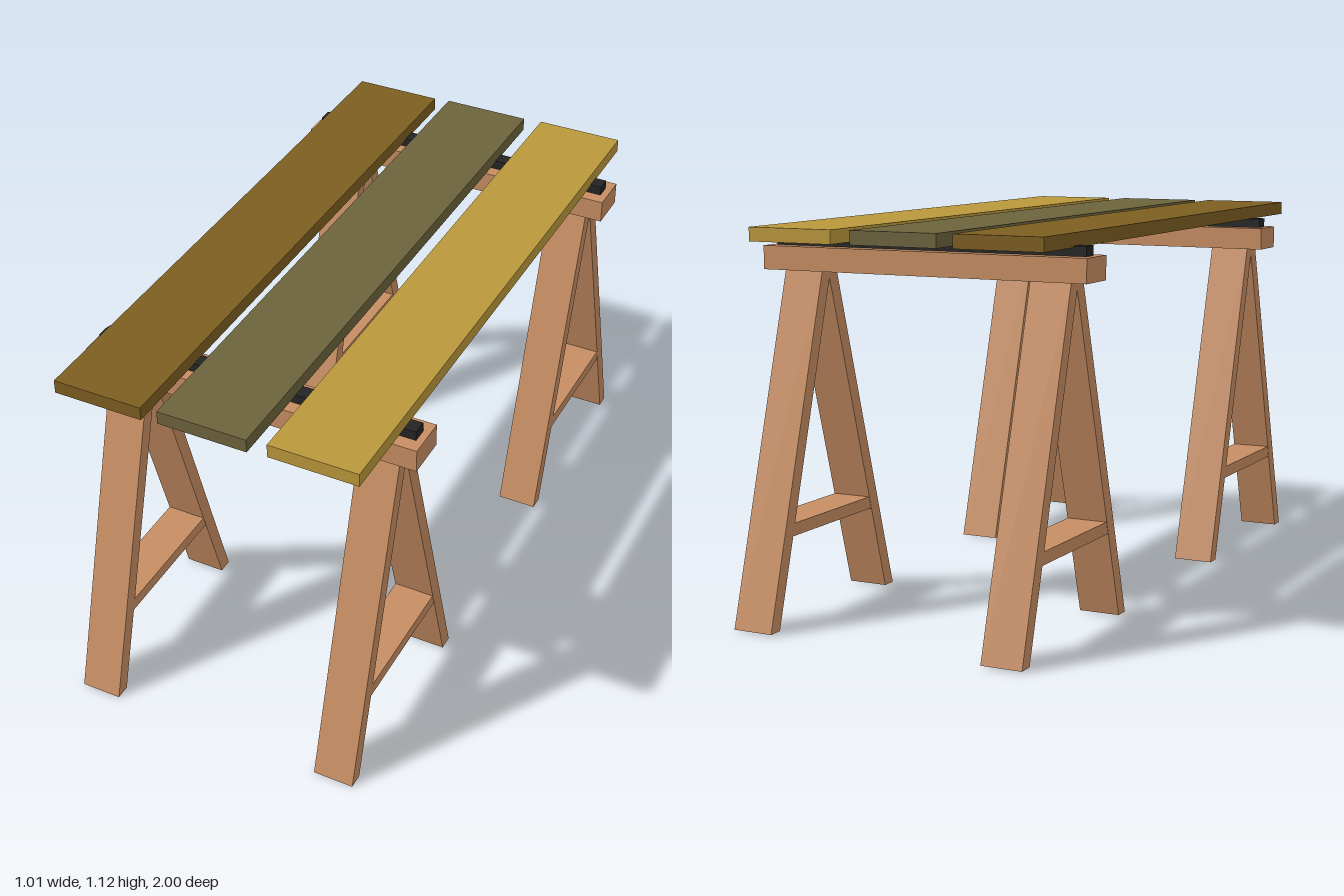
import * as THREE from 'three';

const mat = (name, color) => new THREE.MeshStandardMaterial({ name, color });

export function createModel() {
  const wood = mat('pine', 0xc68d62);
  const black = mat('black', 0x242424);
  const brown = mat('brown paint', 0x7d5e20);
  const olive = mat('olive paint', 0x6c633c);
  const ochre = mat('ochre paint', 0xb9973a);
  const model = new THREE.Group();
  model.name = 'plankTable';

  // box given by its minimum and maximum corners
  function box(parent, name, material, [x0, y0, z0], [x1, y1, z1]) {
    const geo = new THREE.BoxGeometry(x1 - x0, y1 - y0, z1 - z0);
    geo.translate((x0 + x1) / 2, (y0 + y1) / 2, (z0 + z1) / 2);
    const mesh = new THREE.Mesh(geo, material);
    mesh.name = name;
    parent.add(mesh);
  }

  // sheared leg with level ends, leaning out in direction side
  function leg(parent, x, side) {
    const height = 0.99;
    const geo = new THREE.BoxGeometry(0.122, height, 0.044);
    geo.translate(x, height / 2, 0);
    const p = geo.attributes.position;
    for (let i = 0; i < p.count; i++) {
      const t = p.getY(i) / height;
      p.setZ(i, p.getZ(i) + side * THREE.MathUtils.lerp(0.308, 0.014, t));
    }
    geo.computeVertexNormals();
    const mesh = new THREE.Mesh(geo, wood);
    mesh.name = 'leg';
    parent.add(mesh);
  }

  // trestle: beam, dark spacer strip, two A-frames with crossbars
  function trestle(name, z, y) {
    const g = new THREE.Group();
    g.name = name;
    box(g, 'beam', wood, [-0.507, 0.985, -0.062], [0.506, 1.053, 0.062]);
    box(g, 'spacerStrip', black, [-0.487, 1.053, -0.022], [0.485, 1.081, 0.022]);
    for (const x of [-0.39, 0.387]) {
      leg(g, x, 1);
      leg(g, x, -1);
      box(g, 'crossbar', wood, [x - 0.06, 0.254, -0.21], [x + 0.06, 0.29, 0.21]);
    }
    g.position.set(0, y, z);
    model.add(g);
  }
  trestle('frontTrestle', 0.67, 0);
  trestle('backTrestle', -0.67, 0.004);

  // planks, each slightly staggered lengthwise
  box(model, 'rightPlank', brown, [-0.45, 1.08, -0.87], [-0.183, 1.12, 0.966]);
  box(model, 'middlePlank', olive, [-0.137, 1.08, -0.877], [0.13, 1.12, 0.959]);
  box(model, 'leftPlank', ochre, [0.186, 1.08, -0.884], [0.45, 1.12, 0.952]);

  return model;
}
